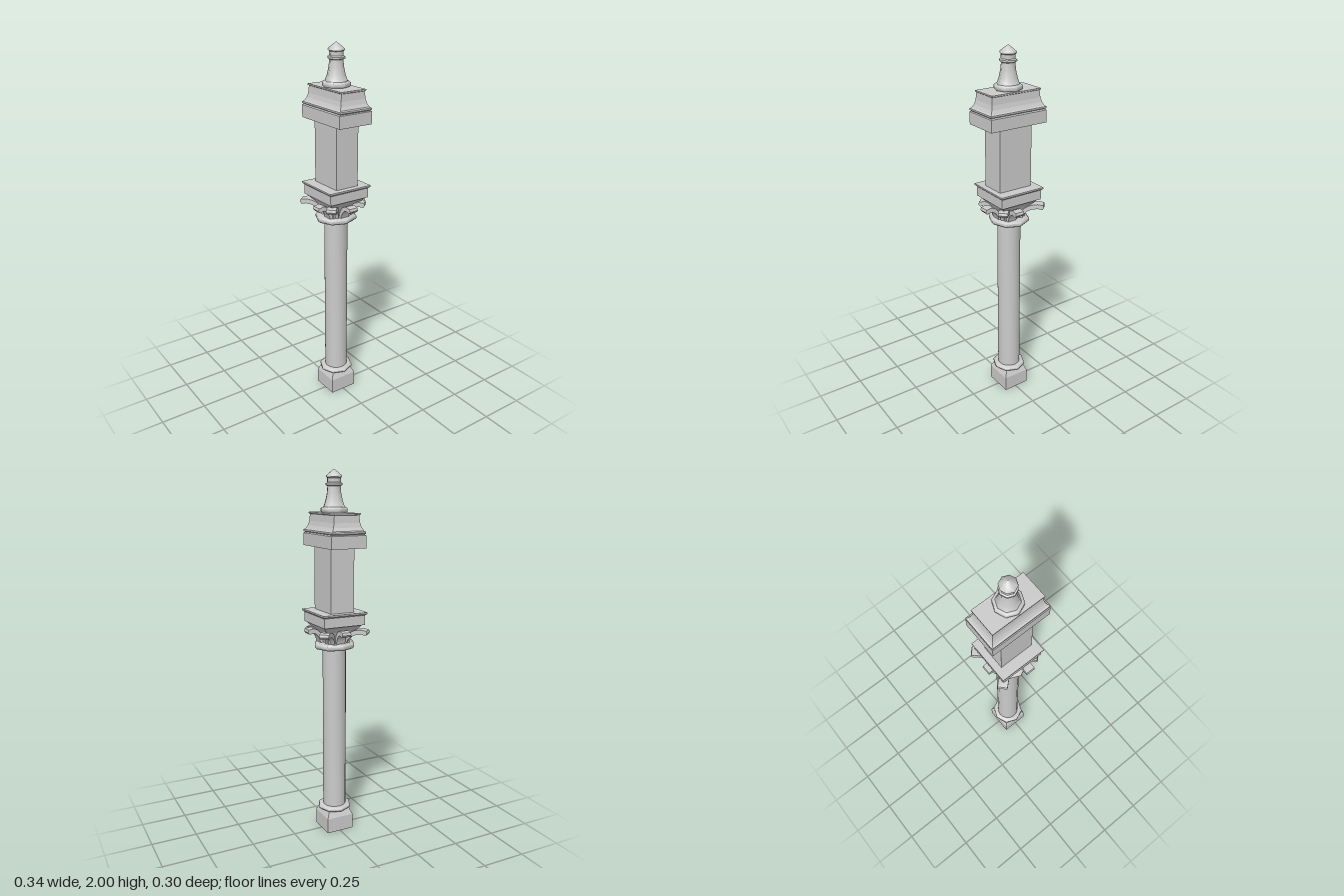
import * as THREE from 'three';
import { toCreasedNormals } from 'three/addons/utils/BufferGeometryUtils.js';

const material = new THREE.MeshStandardMaterial({ color: 0xcccccc });
const flatMaterial = new THREE.MeshStandardMaterial({ color: 0xcccccc, flatShading: true });

const toPoints = (list) => list.map(([r, y]) => new THREE.Vector2(r, y));

// Turned part: [radius, y] profile from bottom to top
function turned(name, profile, sides = 8) {
  const geo = toCreasedNormals(new THREE.LatheGeometry(toPoints(profile), sides), 0.9);
  const mesh = new THREE.Mesh(geo, material);
  mesh.name = name;
  return mesh;
}

// Rectangular moulding: [half depth, y] profile, widened along x by extra
function moulding(name, profile, extra = 0) {
  const scaled = profile.map(([h, y]) => [h * Math.SQRT2, y]);
  const geo = new THREE.LatheGeometry(toPoints(scaled), 4, Math.PI / 4);
  const pos = geo.attributes.position;
  for (let i = 0; i < pos.count; i++) {
    const x = pos.getX(i);
    if (Math.abs(x) > 1e-6) pos.setX(i, x + Math.sign(x) * extra);
  }
  const flat = geo.toNonIndexed();
  flat.computeVertexNormals();
  const mesh = new THREE.Mesh(flat, flatMaterial);
  mesh.name = name;
  return mesh;
}

// Rounded octagonal collar
function collar(name, radius, y0, y1, inner) {
  const h = y1 - y0;
  return turned(name, [
    [inner, y0], [radius - 0.01, y0], [radius, y0 + h * 0.3],
    [radius, y0 + h * 0.7], [radius - 0.01, y1], [inner, y1],
  ]);
}

// Curling capital leaf, its tip at the given distance from the axis
function leaf(tip, angle, x = 0) {
  const width = 0.052;
  const s = new THREE.Shape();
  s.moveTo(0.06, 1.095);
  s.lineTo(0.078, 1.095);
  s.quadraticCurveTo(0.088, 1.145, tip - 0.035, 1.152);
  s.lineTo(tip - 0.008, 1.147);
  s.lineTo(tip, 1.158);
  s.lineTo(tip - 0.004, 1.172);
  s.lineTo(tip - 0.035, 1.177);
  s.quadraticCurveTo(0.075, 1.172, 0.06, 1.095);
  const geo = new THREE.ExtrudeGeometry(s, { depth: width, bevelEnabled: false, curveSegments: 4 });
  geo.translate(0, 0, -width / 2);
  const mesh = new THREE.Mesh(toCreasedNormals(geo, 0.6), material);
  mesh.name = 'capitalLeaf';
  mesh.rotation.y = angle;
  mesh.position.x = x;
  return mesh;
}

export function createModel() {
  const model = new THREE.Group();
  model.name = 'ornamentalPost';

  // Column and its foot, set very slightly off axis
  const column = new THREE.Group();
  column.name = 'column';
  column.position.x = -0.004;
  const plinth = moulding('plinth', [[0, 0], [0.079, 0], [0.079, 0.085], [0.063, 0.122], [0, 0.122]], -0.003);
  const lowerCollar = collar('lowerCollar', 0.094, 0.12, 0.147, 0.05);
  const upperCollar = collar('upperCollar', 0.115, 1.065, 1.098, 0.05);
  lowerCollar.scale.x = 0.98;
  upperCollar.scale.x = 0.94;
  column.add(
    plinth, lowerCollar,
    turned('shaft', [[0.064, 0.12], [0.064, 1.1]], 16),
    upperCollar,
  );
  model.add(column);

  // Capital: flaring bell, leaves and square slab
  const capital = new THREE.Group();
  capital.name = 'capital';
  capital.add(moulding('bell', [[0.062, 1.095], [0.068, 1.13], [0.085, 1.165], [0.115, 1.202]]));
  const slab = moulding('slab', [
    [0, 1.2], [0.12, 1.2], [0.12, 1.252], [0.129, 1.26], [0.129, 1.268], [0, 1.268],
  ], 0.004);
  slab.position.x = -0.003;
  capital.add(slab);
  capital.add(leaf(0.16, 0), leaf(0.15, Math.PI));
  for (const side of [1, -1]) {
    capital.add(
      leaf(0.152, side * Math.PI / 2, 0.03),
      leaf(0.158, side * Math.PI / 4),
      leaf(0.195, side * 2.4),
    );
  }
  model.add(capital);

  // Rectangular upper block
  model.add(moulding('upperBlock', [[0.068, 1.265], [0.068, 1.612]], 0.03));

  // Cornice: plain band, thin lip, cove and crown
  model.add(moulding('corniceBand', [[0, 1.607], [0.099, 1.607], [0.099, 1.672], [0.092, 1.677], [0, 1.677]], 0.069));
  model.add(moulding('cornice', [
    [0.09, 1.675], [0.097, 1.682], [0.097, 1.69], [0.089, 1.695], [0.08, 1.712],
    [0.074, 1.735], [0.071, 1.772], [0.076, 1.775], [0.076, 1.782], [0, 1.782],
  ], 0.072));

  // Finial
  model.add(turned('finial', [
    [0.066, 1.78], [0.074, 1.788], [0.074, 1.803], [0.066, 1.81], [0.059, 1.81],
    [0.048, 1.84], [0.039, 1.88], [0.036, 1.915], [0.045, 1.92], [0.045, 1.929],
    [0.037, 1.934], [0.037, 1.955], [0.044, 1.96], [0.042, 1.968], [0.022, 1.984], [0, 2],
  ]));

  return model;
}
